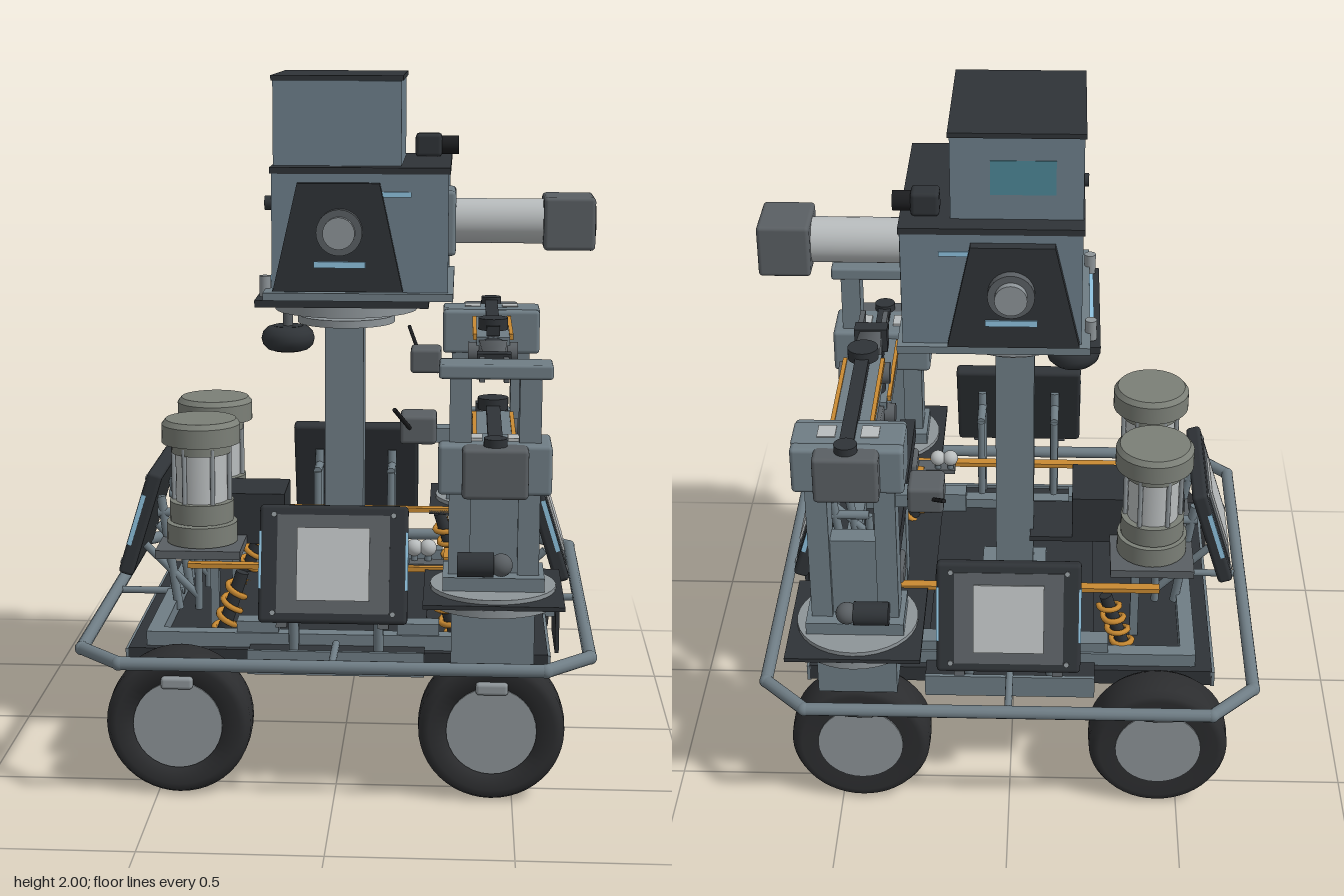
import * as THREE from 'three';
import { RoundedBoxGeometry } from 'three/addons/geometries/RoundedBoxGeometry.js';

const STEEL = 0x6f7d85, DARK = 0x2f3337, BLACK = 0x1c1d1f, TYRE = 0x2c2d2f, HUB = 0x8d9498,
  ORANGE = 0xc98a32, BLUE = 0x8fc3e0, GREY = 0x5a5f63, LIGHT = 0xb8bcbd, OLIVE = 0x7b7f77, ARMOUR = 0x6d7f8b;
const mats = {};
const mat = (c) => (mats[c] ??= new THREE.MeshStandardMaterial({ color: c }));
const HALF = Math.PI / 2;

function add(parent, name, geo, color, x = 0, y = 0, z = 0, rx = 0, ry = 0, rz = 0) {
  const m = new THREE.Mesh(geo, mat(color));
  m.name = name;
  m.position.set(x, y, z);
  m.rotation.set(rx, ry, rz);
  parent.add(m);
  return m;
}
const group = (parent, name) => {
  const g = new THREE.Group();
  g.name = name;
  parent.add(g);
  return g;
};
const box = (w, h, d) => new THREE.BoxGeometry(w, h, d);
const soft = (w, h, d, r = 0.012) => new RoundedBoxGeometry(w, h, d, 2, r);
const cyl = (r, h, r2 = r, n = 32) => new THREE.CylinderGeometry(r2, r, h, n);
const ball = (r) => new THREE.SphereGeometry(r, 20, 14);

// Round bar between two points
function bar(parent, name, a, b, r, color) {
  const p = new THREE.Vector3(...a), q = new THREE.Vector3(...b), d = q.clone().sub(p);
  const m = add(parent, name, cyl(r, d.length(), r, 12), color);
  m.position.copy(p.add(q).multiplyScalar(0.5));
  m.quaternion.setFromUnitVectors(new THREE.Vector3(0, 1, 0), d.normalize());
}

class Helix extends THREE.Curve {
  getPoint(t, v = new THREE.Vector3()) {
    const a = t * 7 * Math.PI * 2;
    return v.set(Math.cos(a) * 0.029, (t - 0.5) * 0.31, Math.sin(a) * 0.029);
  }
}

// Wheel, hub motor and sprung leg at one corner
function wheelUnit(root, sx, sz) {
  const g = group(root, 'wheelUnit');
  const profile = [[0.12, -0.062], [0.175, -0.067], [0.193, -0.064], [0.204, -0.045], [0.206, 0], [0.204, 0.045],
    [0.193, 0.064], [0.175, 0.067], [0.12, 0.062], [0.12, -0.062]].map(([r, y]) => new THREE.Vector2(r, y));
  const x = sx * 0.44;
  add(g, 'tyre', new THREE.LatheGeometry(profile, 48), TYRE, x, 0.206, sz * 0.538, HALF);
  add(g, 'hub', cyl(0.126, 0.13), HUB, x, 0.208, sz * 0.54, HALF);
  add(g, 'hubBracket', soft(0.09, 0.035, 0.03, 0.01), HUB, x, 0.333, sz * 0.605);
  add(g, 'motor', new THREE.CapsuleGeometry(0.047, 0.06, 6, 20), GREY, x, 0.213, sz * 0.4, HALF);
  add(g, 'motorCap', ball(0.036), LIGHT, x, 0.213, sz * 0.318);
  const leg = group(g, 'suspension');
  leg.position.set(sx * 0.335, 0.415, sz * 0.36);
  leg.rotation.z = sx * 0.31;
  add(leg, 'spring', new THREE.TubeGeometry(new Helix(), 150, 0.009, 6), ORANGE);
  add(leg, 'damper', cyl(0.019, 0.36, 0.019, 12), DARK);
}

// Tilted status panel on two posts, facing local +z
function statusPanel(root, angle) {
  const g = group(root, 'statusPanel');
  g.rotation.y = angle;
  const p = group(g, 'panelHead');
  p.position.set(0, 0.682, 0.602);
  p.rotation.x = -0.3;
  add(p, 'casing', soft(0.41, 0.325, 0.045), DARK);
  add(p, 'bezel', box(0.31, 0.27, 0.012), GREY, 0, 0, 0.019);
  add(p, 'screen', box(0.2, 0.2, 0.012), LIGHT, 0, 0, 0.025);
  for (const s of [-1, 1]) {
    add(p, 'lightStrip', box(0.016, 0.16, 0.014), BLUE, s * 0.198, 0.01, 0.014);
    add(p, 'panelClip', box(0.03, 0.02, 0.03), GREY, s * 0.14, -0.165, 0);
    for (const t of [-1, 1]) add(p, 'screw', cyl(0.008, 0.01, 0.008, 8), HUB, s * 0.165, t * 0.135, 0.022, HALF);
    bar(g, 'panelPost', [s * 0.12, 0.4, 0.5], [s * 0.12, 0.75, 0.55], 0.014, STEEL);
    bar(g, 'panelStrut', [s * 0.12, 0.44, 0.44], [s * 0.12, 0.6, 0.6], 0.012, STEEL);
    bar(g, 'panelBrace', [s * 0.12, 0.7, 0.44], [s * 0.12, 0.7, 0.56], 0.014, STEEL);
    bar(g, 'panelStay', [s * 0.12, 0.4, 0.44], [s * 0.12, 0.7, 0.44], 0.012, STEEL);
  }
  bar(g, 'railStay', [0, 0.42, 0.5], [0, 0.42, 0.715], 0.011, STEEL);
}

// Sample canister
function canister(root, z) {
  const g = group(root, 'canister');
  g.position.set(-0.42, 0, z);
  add(g, 'base', cyl(0.105, 0.06), OLIVE, 0, 0.66);
  add(g, 'lowerCollar', cyl(0.095, 0.06), OLIVE, 0, 0.725);
  add(g, 'jar', cyl(0.076, 0.19), LIGHT, 0, 0.82);
  add(g, 'neck', cyl(0.088, 0.03), OLIVE, 0, 0.915);
  add(g, 'cap', cyl(0.116, 0.055), OLIVE, 0, 0.958);
  add(g, 'capTop', cyl(0.116, 0.015, 0.104), OLIVE, 0, 0.993);
  for (let i = 0; i < 6; i++) {
    const a = (i * Math.PI) / 3;
    add(g, 'rod', cyl(0.007, 0.2, 0.007, 8), HUB, Math.cos(a) * 0.083, 0.82, Math.sin(a) * 0.083);
  }
}

// Lifting arm: tower, carriage at height h, boom reaching inward
function liftArm(root, s, h) {
  const g = group(root, 'liftArm');
  g.position.x = 0.44;
  const put = (n, geo, c, x, y, z, rx = 0, rz = 0) => add(g, n, geo, c, x, y, s * z, s * rx, 0, rz);
  put('pedestal', box(0.23, 0.18, 0.2), STEEL, 0, 0.49, 0.5);
  put('turntable', cyl(0.185, 0.022), HUB, 0, 0.578, 0.525);
  put('basePlate', box(0.385, 0.012, 0.38), DARK, 0.0, 0.596, 0.52);
  put('baseDisc', cyl(0.175, 0.012), HUB, 0, 0.608, 0.52);
  put('foot', box(0.28, 0.04, 0.17), STEEL, 0, 0.632, 0.525);
  put('towerBack', box(0.2, 0.3, 0.06), STEEL, 0, 0.75, 0.525);
  for (const t of [-1, 1]) {
    put('towerPost', box(0.06, 0.6, 0.1), STEEL, t * 0.095, 0.91, 0.525);
    put('beltStrip', box(0.012, 0.018, 0.36), ORANGE, t * 0.055, h + 0.046, 0.25);
    put('finger', box(0.016, 0.06, 0.1), GREY, t * 0.035, h, -0.225);
    put('carriageLug', box(0.05, 0.02, 0.06), LIGHT, t * 0.06, h + 0.068, 0.525);
  }
  put('towerCap', soft(0.31, 0.04, 0.11, 0.008), STEEL, 0, 1.22, 0.525);
  put('carriage', soft(0.31, 0.14, 0.17), STEEL, 0, h, 0.53);
  put('carriageFace', soft(0.18, 0.14, 0.08), GREY, 0, h, 0.625);
  put('footMotor', cyl(0.034, 0.1), DARK, -0.05, 0.69, 0.61, 0, HALF);
  put('footMotorEnd', ball(0.032), GREY, 0.02, 0.69, 0.61);
  // Side unit with aerial
  put('sideUnit', soft(0.1, 0.08, 0.11), GREY, -0.21, 1.06, 0.54);
  put('sideBracket', box(0.1, 0.04, 0.06), STEEL, -0.15, 1.04, 0.53);
  bar(g, 'aerial', [-0.23, 1.06, s * 0.58], [-0.27, 1.14, s * 0.71], 0.006, BLACK);
  // Boom, elbow and gripper
  put('boom', box(0.1, 0.1, 0.42), STEEL, 0, h, 0.25);
  put('boomBelt', box(0.04, 0.028, 0.6), DARK, 0, h + 0.07, 0.33);
  put('topMotor', cyl(0.032, 0.032), DARK, 0, h + 0.076, 0.615);
  put('boomMotor', cyl(0.045, 0.035), DARK, 0, h + 0.085, 0.09);
  put('elbow', ball(0.054), DARK, 0, h, 0.06);
  put('elbowPin', cyl(0.032, 0.15), GREY, 0, h, 0.06, 0, HALF);
  put('forearm', cyl(0.06, 0.18, 0.045, 4).rotateY(HALF / 2), GREY, 0, h, -0.06, -HALF);
  put('wrist', box(0.1, 0.075, 0.05), DARK, 0, h, -0.16);
}

// Hollow turret with gun and roof box
function turret(root) {
  const g = group(root, 'turret');
  add(g, 'lowerRing', cyl(0.145, 0.022), HUB, 0, 1.278);
  add(g, 'neck', cyl(0.09, 0.06), GREY, 0, 1.29);
  add(g, 'upperRing', cyl(0.212, 0.035), HUB, 0, 1.324);
  add(g, 'ringPlate', box(0.5, 0.02, 0.5), DARK, 0, 1.353);
  add(g, 'floor', box(0.54, 0.022, 0.63), STEEL, 0.05, 1.383);
  add(g, 'floorLight', box(0.012, 0.014, 0.33), BLUE, -0.225, 1.39, -0.02);
  add(g, 'roof', box(0.51, 0.018, 0.59), DARK, 0.055, 1.738);
  add(g, 'cargo', box(0.09, 0.018, 0.2), ORANGE, -0.12, 1.403, 0);
  add(g, 'crossBar', new THREE.CapsuleGeometry(0.038, 0.42, 6, 16), DARK, 0.12, 1.57, 0, HALF);
  const cheek = new THREE.Shape([[-0.19, -0.17], [0.178, -0.17], [0.112, 0.135], [-0.12, 0.135]].map((p) => new THREE.Vector2(...p)));
  for (const s of [-1, 1]) {
    add(g, 'sideWall', box(0.5, 0.34, 0.014), ARMOUR, 0.055, 1.565, s * 0.287);
    add(g, 'cheekPlate', new THREE.ExtrudeGeometry(cheek, { depth: 0.034, bevelEnabled: false }), DARK, 0, 1.57, s > 0 ? 0.292 : -0.326);
    add(g, 'pivotRing', cyl(0.065, 0.03), GREY, 0, 1.57, s * 0.338, HALF);
    add(g, 'pivot', cyl(0.045, 0.04), HUB, 0, 1.57, s * 0.355, HALF);
    add(g, 'lightBar', box(0.145, 0.018, 0.01), BLUE, 0, 1.477, s * 0.326);
    add(g, 'sideLight', box(0.09, 0.014, 0.008), BLUE, 0.155, 1.672, s * 0.294);
    add(g, 'deckPin', cyl(0.017, 0.06, 0.017, 12), HUB, -0.222, 1.4, s * 0.21);
    add(g, 'sensorBulb', new THREE.CapsuleGeometry(0.03, 0.03, 6, 16), GREY, 0.14, 1.485, s * 0.155);
  }
  add(g, 'gunMount', soft(0.13, 0.19, 0.19), STEEL, 0.26, 1.57);
  add(g, 'barrel', cyl(0.066, 0.28), LIGHT, 0.45, 1.57, 0, 0, 0, HALF);
  add(g, 'muzzle', soft(0.15, 0.155, 0.185), GREY, 0.655, 1.57);
  add(g, 'bore', cyl(0.052, 0.008), BLACK, 0.73, 1.57, 0, 0, 0, HALF);
  add(g, 'roofBox', box(0.365, 0.24, 0.46), ARMOUR, -0.013, 1.865);
  add(g, 'roofLid', box(0.375, 0.014, 0.47), DARK, -0.013, 1.993);
  add(g, 'rearDisplay', box(0.18, 0.1, 0.006), 0x4d8796, -0.03, 1.87, -0.229);
  add(g, 'camera', soft(0.08, 0.07, 0.07), DARK, 0.24, 1.78, -0.185);
  add(g, 'cameraLens', cyl(0.028, 0.06), BLACK, 0.3, 1.78, -0.185, 0, 0, HALF);
  add(g, 'rearKnob', cyl(0.02, 0.03), DARK, -0.2, 1.645, 0.27, 0, 0, HALF);
  add(g, 'underSensorRim', new THREE.TorusGeometry(0.042, 0.038, 12, 32), DARK, -0.175, 1.215, 0, HALF);
  add(g, 'underSensorCore', cyl(0.045, 0.076), DARK, -0.175, 1.215);
  add(g, 'underSensorStem', cyl(0.015, 0.06), GREY, -0.175, 1.28);
}

export function createModel() {
  const root = new THREE.Group();
  // Chassis and deck
  add(root, 'chassis', box(1.2, 0.05, 0.92), DARK, 0, 0.36);
  add(root, 'chassisMiddle', box(0.5, 0.06, 1.04), DARK, 0, 0.365);
  add(root, 'bellyPlate', box(1.18, 0.01, 0.9), BLACK, 0, 0.333);
  for (const s of [-1, 1]) {
    add(root, 'sideSill', box(0.5, 0.07, 0.012), STEEL, 0, 0.37, s * 0.522);
    add(root, 'endSill', box(0.012, 0.05, 0.92), STEEL, s * 0.602, 0.357, 0);
    add(root, 'frameRail', box(1.08, 0.045, 0.045), STEEL, 0, 0.405, s * 0.415);
    add(root, 'frameCross', box(0.045, 0.045, 0.87), STEEL, s * 0.528, 0.405, 0);
    add(root, 'orangeBar', box(0.78, 0.014, 0.03), ORANGE, -0.05, 0.602, s * 0.345);
    add(root, 'lightBarEnd', box(0.04, 0.03, 0.06), BLUE, 0.362, 0.725, s * 0.335);
    add(root, 'equipmentBox', soft(0.1, 0.08, 0.11), GREY, 0.37, 0.62, s * 0.29);
    add(root, 'shelfPost', box(0.025, 0.22, 0.03), STEEL, -0.37, 0.495, s * 0.27);
    for (const t of [-1, 1]) {
      add(root, 'deckBlock', box(0.12, 0.07, 0.06), STEEL, t * 0.23, 0.425, s * 0.4);
      wheelUnit(root, t, s);
    }
    canister(root, s * 0.17);
  }
  // Octagonal bumper rail
  const loop = [[0.71, 0.585], [0.585, 0.71], [-0.585, 0.71], [-0.71, 0.585], [-0.71, -0.585], [-0.585, -0.71], [0.585, -0.71], [0.71, -0.585]];
  loop.forEach(([x, z], i) => {
    const [u, w] = loop[(i + 1) % 8];
    bar(root, 'bumperRail', [x, 0.422, z], [u, 0.422, w], 0.019, STEEL);
    add(root, 'bumperJoint', ball(0.02), STEEL, x, 0.422, z);
  });
  // Mast and canister shelf
  add(root, 'mast', box(0.115, 0.87, 0.12), STEEL, -0.003, 0.835);
  add(root, 'mastFoot', box(0.2, 0.06, 0.2), STEEL, 0, 0.41);
  add(root, 'shelf', box(0.25, 0.025, 0.58), GREY, -0.42, 0.614);
  add(root, 'shelfBox', box(0.34, 0.14, 0.2), DARK, -0.35, 0.685);
  add(root, 'shelfArm', box(0.3, 0.016, 0.2), DARK, -0.2, 0.608);
  // Front equipment
  add(root, 'lightBeam', box(0.05, 0.065, 0.72), DARK, 0.355, 0.722);
  add(root, 'beamPost', box(0.04, 0.3, 0.1), STEEL, 0.355, 0.55);
  add(root, 'frontFlap', box(0.012, 0.26, 0.24), DARK, 0.642, 0.41);
  add(root, 'flapBracket', box(0.06, 0.05, 0.12), STEEL, 0.61, 0.4);
  add(root, 'orangeUnit', box(0.04, 0.04, 0.11), ORANGE, 0.32, 0.6, 0.235);
  for (const x of [0.215, 0.255]) {
    add(root, 'bulb', ball(0.025), LIGHT, x, 0.65, 0.295);
    add(root, 'bulbStem', cyl(0.01, 0.05, 0.01, 10), STEEL, x, 0.625, 0.295);
  }
  add(root, 'bulbBracket', box(0.14, 0.015, 0.06), GREY, 0.27, 0.605, 0.31);
  add(root, 'bellySensor', soft(0.17, 0.016, 0.12, 0.007), DARK, 0.135, 0.182);
  for (let i = 0; i < 4; i++) statusPanel(root, i * HALF);
  liftArm(root, 1, 0.955);
  liftArm(root, -1, 1.165);
  turret(root);
  return root;
}
